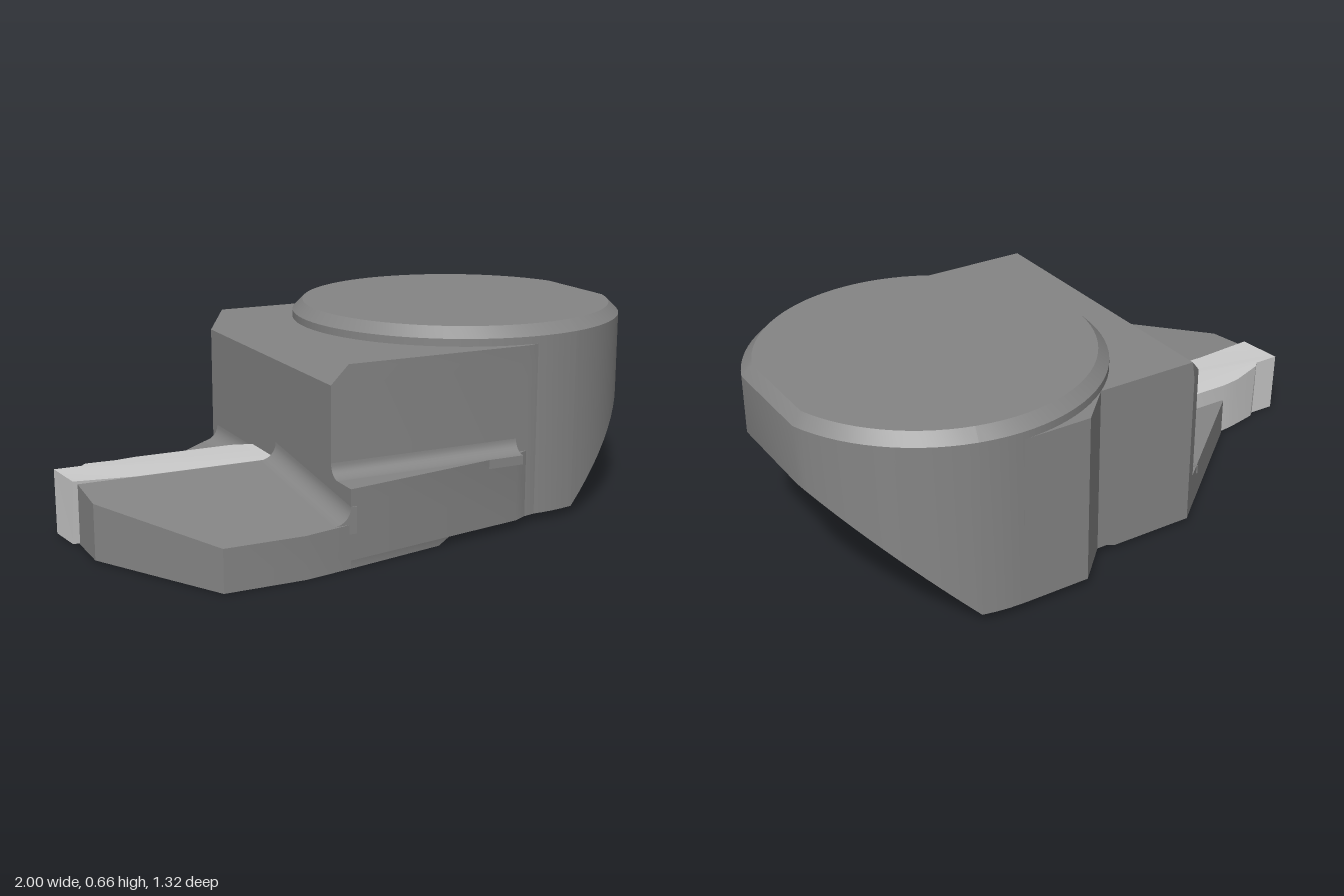
import * as THREE from 'three';
import { toCreasedNormals } from 'three/addons/utils/BufferGeometryUtils.js';

const bodyMat = new THREE.MeshStandardMaterial({ color: 0x858585 });
const insertMat = new THREE.MeshStandardMaterial({ color: 0xcccccc });

// Capped loft: one plan outline [x, z] placed at several levels by functions (x, z) -> [x, y, z]
function loft(outline, levels) {
  const plan = outline.map(([x, z]) => new THREE.Vector2(x, z));
  if (THREE.ShapeUtils.isClockWise(plan)) plan.reverse();
  const rings = levels.map(f => plan.map(p => f(p.x, p.y)));
  const top = rings[rings.length - 1], n = plan.length, pos = [];
  const tri = (...pts) => pts.forEach(p => pos.push(...p));
  for (let k = 0; k + 1 < rings.length; k++) {
    const a = rings[k], b = rings[k + 1];
    for (let i = 0; i < n; i++) {
      const j = (i + 1) % n;
      tri(a[i], b[i], b[j]);
      tri(a[i], b[j], a[j]);
    }
  }
  for (const [i, j, k] of THREE.ShapeUtils.triangulateShape(plan, [])) {
    tri(rings[0][i], rings[0][j], rings[0][k]);
    tri(top[k], top[j], top[i]);
  }
  const g = new THREE.BufferGeometry();
  g.setAttribute('position', new THREE.Float32BufferAttribute(pos, 3));
  return toCreasedNormals(g, 0.4);
}

// Concave fillet strip for an inside corner, running along z
function fillet(r, length) {
  const pts = [new THREE.Vector2(0.02, -0.03), new THREE.Vector2(-r, -0.03)];
  for (let i = 0; i <= 8; i++) {
    const t = (i / 8) * Math.PI / 2;
    pts.push(new THREE.Vector2(-r + r * Math.sin(t), r - r * Math.cos(t)));
  }
  pts.push(new THREE.Vector2(0.02, r));
  const g = new THREE.ExtrudeGeometry(new THREE.Shape(pts), { depth: length, bevelEnabled: false });
  return toCreasedNormals(g, 0.4);
}

const at = y => (x, z) => [x, y, z];
const underside = (x, z) => [x, 0.004 + (0.655 - z) * 0.012, z];
const frontFloor = z => 0.14 + (0.655 - z) * 0.115;
const BACK_FLOOR = 0.145;

export function createModel() {
  const group = new THREE.Group();
  const add = (name, geometry, material = bodyMat) => {
    const mesh = new THREE.Mesh(geometry, material);
    mesh.name = name;
    group.add(mesh);
    return mesh;
  };

  // Round head with a flat, a top chamfer and a 45 degree undercut, split where the undercut starts
  const CX = 0.46, CZ = -0.09, R = 0.57;
  const arc = (a0, a1, n) => Array.from({ length: n + 1 }, (_, i) => {
    const a = a0 + (a1 - a0) * i / n;
    return [CX + R * Math.cos(a), CZ + R * Math.sin(a)];
  });
  const split = Math.acos(0.14 / R), flat = Math.acos(0.54 / R), s = 0.535 / R;
  const headLevels = [
    (x, z) => [x, Math.max(0.03, x - 0.57), z],
    at(0.625),
    (x, z) => [CX + (x - CX) * s, 0.66, CZ + (z - CZ) * s],
  ];
  add('headRound', loft(arc(split, 2 * Math.PI - split, 48), headLevels));
  add('headUndercut', loft([...arc(-split, -flat, 14), ...arc(flat, split, 14)], headLevels));

  // Shoulder block with chamfered upper edge and the angled rear corner
  add('shoulderBlock', loft([
    [-0.3, 0.49], [0.4, 0.49], [0.46, 0.475], [0.46, -0.66], [0.23, -0.66],
    [0.11, -0.54], [-0.25, -0.54], [-0.3, -0.497],
  ], [at(0.03), at(0.54), (x, z) => [Math.max(x, -0.24), 0.6, z]]));

  // Tapered ledge along the front of the block
  add('frontLedge', loft([
    [-0.3, 0.627], [0.35, 0.515], [0.41, 0.485], [0.41, 0.3], [-0.3, 0.3],
  ], [at(0.03), at(0.253)]));
  const ledgeFillet = add('ledgeFillet', fillet(0.045, 0.66));
  ledgeFillet.rotation.y = Math.PI / 2;
  ledgeFillet.position.set(-0.3, 0.253, 0.49);

  // Raised pad under the block, with a sloped step
  add('basePad', loft([
    [-0.3, 0.627], [0.08, 0.561], [0.08, -0.54], [-0.25, -0.54], [-0.3, -0.497],
  ], [(x, z) => underside(Math.min(x, 0.04), z), at(0.032)]));

  // Blade plate: sloping front half and level rear half
  add('plateFront', loft([
    [-0.97, 0.07], [-0.97, 0.23], [-0.72, 0.655], [-0.46, 0.655], [-0.3, 0.627], [-0.3, 0.07],
  ], [underside, (x, z) => [x, frontFloor(z), z]]));
  add('plateRear', loft([
    [-0.71, 0.07], [-0.3, 0.07], [-0.3, -0.497], [-0.71, -0.15],
  ], [underside, at(BACK_FLOOR)]));

  // Fillets between the plate and the block
  for (const [name, z0, z1, floor] of [
    ['plateFilletFront', 0.07, 0.628, frontFloor],
    ['plateFilletRear', -0.455, -0.13, () => BACK_FLOOR],
  ]) {
    const g = fillet(0.055, z1 - z0).translate(-0.3, 0, z0);
    const p = g.attributes.position;
    for (let i = 0; i < p.count; i++) p.setY(i, p.getY(i) + floor(p.getZ(i)));
    add(name, toCreasedNormals(g, 0.4));
  }

  // Cutting insert: widens from the tip and narrows towards its underside
  add('cuttingInsert', loft([
    [-1, -0.09], [-0.91, -0.09], [-0.89, -0.11], [-0.78, -0.14], [-0.71, -0.15],
    [-0.37, -0.15], [-0.3, -0.13], [-0.3, 0.07], [-0.78, 0.07], [-0.985, 0.07],
  ], [
    (x, z) => [x, 0.006, -0.06 + (z + 0.06) * 0.8],
    (x, z) => [x, x < -0.8 ? 0.218 : 0.208, z],
  ]), insertMat);

  return group;
}
